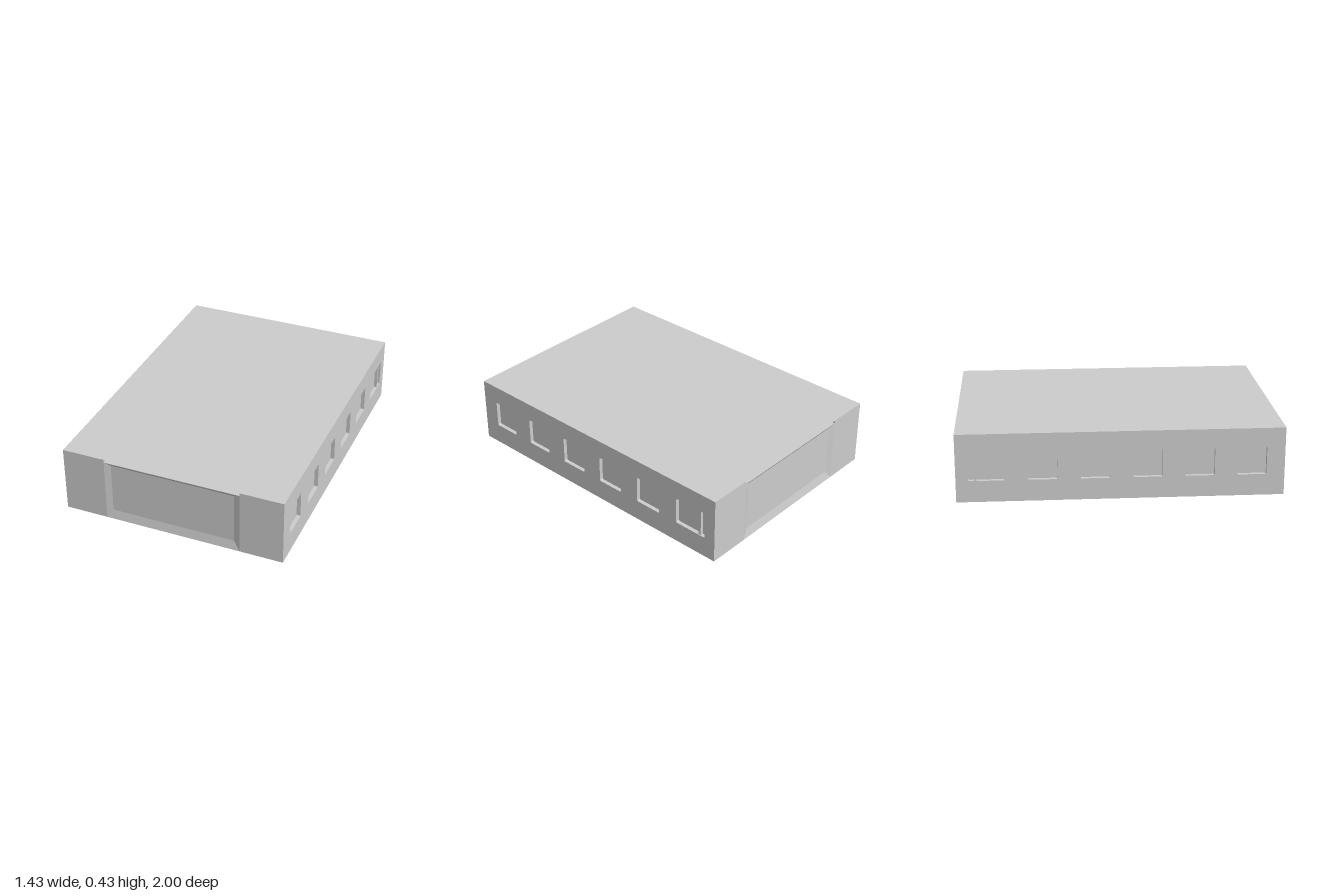
import * as THREE from 'three';

const W = 0.715, H = 0.43, L = 1;      // half width, height, half length
const WALL = 0.025, END = 0.04;        // thickness of side and end walls
const DOOR = 0.44, SILL = 0.41;        // half width and top of the end panel

const material = new THREE.MeshStandardMaterial({ color: 0xcccccc, flatShading: true });

function add(parent, name, geometry, x = 0, y = 0, z = 0) {
  const mesh = new THREE.Mesh(geometry, material);
  mesh.name = name;
  mesh.position.set(x, y, z);
  parent.add(mesh);
  return mesh;
}

// Rounded rectangle used for the window openings
function roundedHole(u0, u1, v0, v1, r) {
  const p = new THREE.Path();
  p.moveTo(u0 + r, v0);
  p.lineTo(u1 - r, v0).quadraticCurveTo(u1, v0, u1, v0 + r);
  p.lineTo(u1, v1 - r).quadraticCurveTo(u1, v1, u1 - r, v1);
  p.lineTo(u0 + r, v1).quadraticCurveTo(u0, v1, u0, v1 - r);
  p.lineTo(u0, v0 + r).quadraticCurveTo(u0, v0, u0 + r, v0);
  return p;
}

// Extrudes a (z, y) outline along -x
function extrudeAcross(shape, depth) {
  const g = new THREE.ExtrudeGeometry(shape, { depth, bevelEnabled: false, curveSegments: 3 });
  return g.applyMatrix4(new THREE.Matrix4().makeBasis(
    new THREE.Vector3(0, 0, 1), new THREE.Vector3(0, 1, 0), new THREE.Vector3(-1, 0, 0)));
}

// Side wall with six window openings, the rearmost one wider
function sideWallGeometry() {
  const shape = new THREE.Shape([[-L, 0], [L, 0], [L, H], [-L, H]].map(p => new THREE.Vector2(...p)));
  for (let i = 0; i < 6; i++) {
    const front = 0.888 - i * 0.318;
    const back = i === 5 ? -0.925 : front - 0.18;
    shape.holes.push(roundedHole(back, front, 0.135, 0.31, 0.01));
  }
  return extrudeAcross(shape, WALL);
}

// Shallow dished panel lofted through rectangular rings
function dishGeometry() {
  const rings = [
    [DOOR, 0, SILL, L - END],
    [DOOR, 0, SILL, L],
    [0.4, 0.06, 0.39, L - 0.012],
  ];
  const pos = [], idx = [];
  for (const [w, y0, y1, z] of rings) pos.push(-w, y0, z, w, y0, z, w, y1, z, -w, y1, z);
  for (let r = 0; r < rings.length - 1; r++) {
    for (let i = 0; i < 4; i++) {
      const a = r * 4 + i, b = r * 4 + (i + 1) % 4;
      idx.push(a, b, b + 4, a, b + 4, a + 4);
    }
  }
  idx.push(8, 9, 10, 8, 10, 11);
  const g = new THREE.BufferGeometry();
  g.setAttribute('position', new THREE.Float32BufferAttribute(pos, 3));
  g.setIndex(idx);
  const flat = g.toNonIndexed();
  flat.computeVertexNormals();
  return flat;
}

// End wall: two cheeks, the dished panel and the sloping lip over its slot
function endWall(name) {
  const group = new THREE.Group();
  group.name = name;
  const cheekWidth = W - WALL - DOOR;
  for (const s of [1, -1]) {
    add(group, 'endCheek', new THREE.BoxGeometry(cheekWidth, H, END),
      s * (DOOR + cheekWidth / 2), H / 2, L - END / 2);
  }
  add(group, 'dishedPanel', dishGeometry());
  const lip = new THREE.Shape([[L - END, SILL], [L, H], [L - END, H]].map(p => new THREE.Vector2(...p)));
  add(group, 'roofLip', extrudeAcross(lip, 2 * DOOR), DOOR);
  return group;
}

export function createModel() {
  const model = new THREE.Group();
  model.name = 'building';

  // Solid core that closes the window recesses
  add(model, 'core', new THREE.BoxGeometry(2 * (W - WALL), H, 2 * (L - END)), 0, H / 2, 0);

  // Side walls, with a slim post in the wide rear window
  const wall = sideWallGeometry();
  for (const s of [1, -1]) {
    add(model, s > 0 ? 'leftWall' : 'rightWall', wall, s > 0 ? W : -W + WALL);
    add(model, 'windowPost', new THREE.BoxGeometry(0.02, 0.175, 0.015),
      s * (W - WALL + 0.01), 0.2225, -0.8825);
  }

  // Matching end walls
  model.add(endWall('frontWall'));
  const back = endWall('backWall');
  back.rotation.y = Math.PI;
  model.add(back);

  return model;
}
